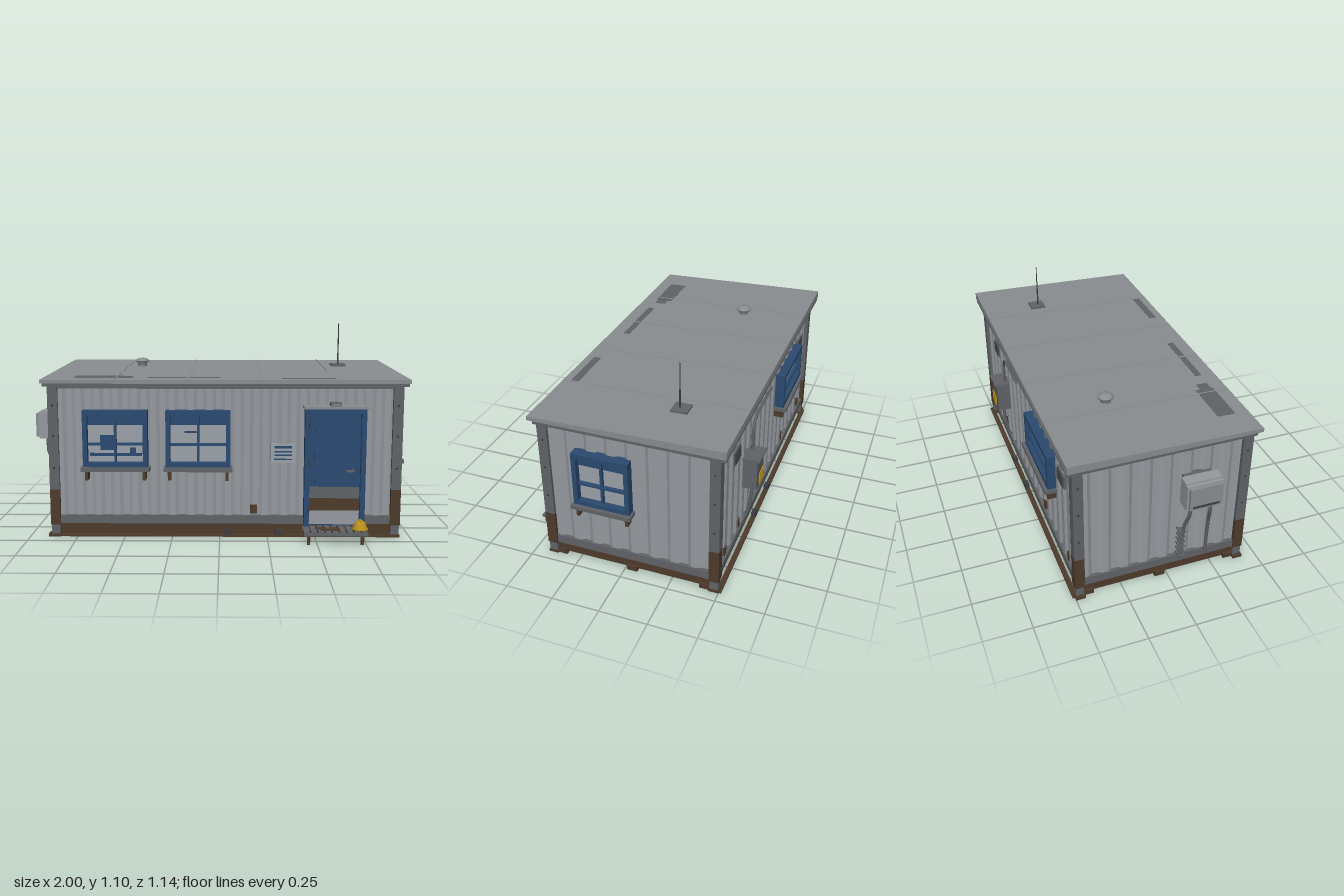
import * as THREE from 'three';

const mat = (name, color) => {
  const m = new THREE.MeshStandardMaterial({ color });
  m.name = name;
  return m;
};

export function createModel() {
  const wall = mat('wallGrey', 0x959a9f), roof = mat('roofGrey', 0x898d90), trim = mat('trimGrey', 0x606366);
  const blue = mat('paintBlue', 0x2a4a70), glass = mat('paneGrey', 0x9aa1a7), rust = mat('rustBrown', 0x4e3b2b);
  const yellow = mat('safetyYellow', 0xb8901e), dark = mat('darkMetal', 0x3b3d3f);
  const model = new THREE.Group();
  model.name = 'siteCabin';

  const group = (name, parent = model) => {
    const g = new THREE.Group();
    g.name = name;
    parent.add(g);
    return g;
  };
  const add = (parent, name, geo, m, x = 0, y = 0, z = 0) => {
    const mesh = new THREE.Mesh(geo, m);
    mesh.name = name;
    mesh.position.set(x, y, z);
    parent.add(mesh);
    return mesh;
  };
  // box given by its limits on each axis
  const box = (p, name, m, x0, x1, y0, y1, z0, z1) =>
    add(p, name, new THREE.BoxGeometry(x1 - x0, y1 - y0, z1 - z0), m, (x0 + x1) / 2, (y0 + y1) / 2, (z0 + z1) / 2);
  const tube = (p, name, m, r, pts) => {
    const path = new THREE.CatmullRomCurve3(pts.map(a => new THREE.Vector3(...a)), false, 'catmullrom', 0.2);
    return add(p, name, new THREE.TubeGeometry(path, 32, r, 8), m);
  };

  // Walls: each group has local x along the wall and local z pointing outwards
  const corrugated = (name, len, x, z, turn) => {
    const g = group(name);
    g.position.set(x, 0, z);
    g.rotation.y = turn;
    const h = len / 2, n = Math.round(len / 0.1), p = len / n, s = new THREE.Shape();
    s.moveTo(-h, 0.03);
    for (let i = 0; i < n; i++) {
      const a = -h + i * p;
      [[0, 0], [0.32, 0], [0.5, 0.012], [0.82, 0.012]].forEach(([u, d]) => s.lineTo(a + u * p, d));
    }
    s.lineTo(h, 0);
    s.lineTo(h, 0.03);
    const geo = new THREE.ExtrudeGeometry(s, { depth: 0.72, bevelEnabled: false });
    geo.rotateX(-Math.PI / 2);
    add(g, 'corrugatedSheet', geo, wall, 0, 0.075, 0);
    box(g, 'bottomRail', trim, -h, h, 0.07, 0.115, -0.03, 0.008);
    box(g, 'topRail', trim, -h, h, 0.785, 0.8, -0.03, 0.008);
    return g;
  };
  const CX = 0.0275, CZ = -0.0375;
  const front = corrugated('frontWall', 1.75, CX, 0.41, 0);
  const back = corrugated('backWall', 1.75, CX, -0.485, Math.PI);
  const right = corrugated('leftSideWall', 0.84, 0.93, CZ, Math.PI / 2);
  const left = corrugated('rightSideWall', 0.84, -0.875, CZ, -Math.PI / 2);

  // Corner posts with rusted feet, bolts and base castings
  for (const sx of [-1, 1]) for (const sz of [-1, 1]) {
    const g = group('cornerPost');
    const x = CX + sx * 0.892, z = CZ + sz * 0.437;
    box(g, 'upperPost', trim, x - 0.026, x + 0.026, 0.255, 0.8, z - 0.026, z + 0.026);
    box(g, 'rustedPost', rust, x - 0.026, x + 0.026, 0.065, 0.255, z - 0.026, z + 0.026);
    box(g, 'cornerCasting', trim, x - 0.022, x + 0.022, 0.015, 0.065, z - 0.022, z + 0.022);
    box(g, 'footPlate', rust, x - 0.04, x + 0.026, 0, 0.014, z - 0.026, z + 0.026);
    for (const y of [0.14, 0.37, 0.54, 0.7]) {
      add(g, 'bolt', new THREE.SphereGeometry(0.006, 8, 6), dark, x + sx * 0.026, y, z);
      add(g, 'bolt', new THREE.SphereGeometry(0.006, 8, 6), dark, x, y, z + sz * 0.026);
    }
  }

  // Base frame, floor and skids
  const base = group('baseFrame');
  box(base, 'floor', rust, -0.87, 0.925, 0.062, 0.08, -0.48, 0.405);
  for (const z of [0.38, -0.455]) box(base, 'longBeam', rust, -0.875, 0.93, 0.012, 0.062, z - 0.02, z + 0.02);
  for (const z of [0.353, -0.04, -0.428]) box(base, 'skid', rust, -0.885, 0.94, 0.002, 0.03, z - 0.028, z + 0.028);
  for (let i = 0; i < 5; i++) {
    const x = -0.855 + i * 0.441;
    box(base, 'crossBeam', rust, x - 0.018, x + 0.018, 0.015, 0.063, -0.46, 0.385);
  }
  for (const z of [0.418, -0.493]) {
    box(base, 'bottomFlange', rust, -0.885, 0.94, 0, 0.01, z - 0.02, z + 0.006);
    for (const x of [0.045, 0.31]) box(base, 'liftPocket', dark, x - 0.02, x + 0.02, 0.005, 0.038, z - 0.02, z + 0.004);
  }

  // Roof: shallow fall towards the front
  const roofY = z => 0.835 + (0.457 - z) * 0.0222;
  const slab = (p, name, m, x0, x1, z0, z1, lift, bottom) => {
    const s = new THREE.Shape();
    s.moveTo(z0, bottom ?? roofY(z0) - 0.002);
    s.lineTo(z0, roofY(z0) + lift);
    s.lineTo(z1, roofY(z1) + lift);
    s.lineTo(z1, bottom ?? roofY(z1) - 0.002);
    const geo = new THREE.ExtrudeGeometry(s, { depth: x1 - x0, bevelEnabled: false });
    geo.rotateY(-Math.PI / 2);
    return add(p, name, geo, m, x1, 0, 0);
  };
  const top = group('roof');
  slab(top, 'roofPanel', roof, -0.92, 0.975, -0.533, 0.457, 0, 0.815);
  box(top, 'fascia', trim, -0.915, 0.97, 0.797, 0.815, -0.53, 0.43);
  for (const x of [-0.54, -0.16, 0.216, 0.595]) slab(top, 'roofSeam', roof, x - 0.004, x + 0.004, -0.533, 0.457, 0.002);
  for (const [x0, x1, z0, z1] of [[-0.76, -0.505, 0.29, 0.385], [-0.505, -0.455, 0.315, 0.375],
    [-0.375, -0.17, 0.35, 0.385], [-0.155, 0, 0.35, 0.385], [0.32, 0.6, 0.375, 0.415]])
    slab(top, 'roofPatch', trim, x0, x1, z0, z1, 0.001);

  // Mushroom vent and aerial
  const vent = group('roofVent', top);
  vent.position.set(-0.46, 0.845, -0.185);
  const ventProfile = [[0.026, 0], [0.026, 0.028], [0.04, 0.03], [0.04, 0.038], [0.026, 0.05], [0, 0.053]];
  add(vent, 'ventCap', new THREE.LatheGeometry(ventProfile.map(a => new THREE.Vector2(...a)), 20), roof);
  const aerial = group('aerial', top);
  box(aerial, 'aerialPlate', trim, 0.645, 0.728, 0.845, 0.86, -0.26, -0.175);
  add(aerial, 'aerialRod', new THREE.CylinderGeometry(0.002, 0.005, 0.25, 8), dark, 0.686, 0.975, -0.21);

  // Windows: frame, pane, glazing bars, blind, sill and brackets
  const windowUnit = (p, cx, w, y0, y1, cross = true) => {
    const g = group('window', p), h = w / 2, t = 0.024;
    const mid = (y0 + y1) / 2 - 0.03;
    g.position.x = cx;
    for (const s of [-1, 1]) {
      const x = s * (h - t / 2);
      box(g, 'sideFrame', blue, x - t / 2, x + t / 2, y0, y1, -0.015, 0.045);
      const b = s * (h - 0.018);
      box(g, 'sillBracket', rust, b - 0.008, b + 0.008, y0 - 0.07, y0 - 0.02, -0.012, 0.045);
    }
    box(g, 'topFrame', blue, -h + t, h - t, y1 - t, y1, -0.015, 0.045);
    box(g, 'bottomFrame', blue, -h + t, h - t, y0, y0 + t, -0.015, 0.045);
    box(g, 'pane', glass, -h + t, h - t, y0 + t, y1 - t, -0.014, 0.012);
    box(g, 'blind', blue, -h + t, h - t, y1 - t - (y1 - y0) * 0.18, y1 - t, 0.012, 0.016);
    box(g, 'crossBar', blue, -h + t, h - t, mid - 0.006, mid + 0.006, 0.012, 0.032);
    if (cross) box(g, 'uprightBar', blue, -0.006, 0.006, y0 + t, y1 - t, 0.012, 0.032);
    box(g, 'sill', trim, -h - 0.01, h + 0.01, y0 - 0.021, y0, -0.012, 0.064);
    return g;
  };
  const office = windowUnit(front, -0.541 - CX, 0.335, 0.38, 0.675);
  box(office, 'screenShape', blue, -0.08, 0, 0.465, 0.545, 0.012, 0.015);
  box(office, 'deskShape', blue, -0.135, 0.135, 0.434, 0.45, 0.012, 0.015);
  box(office, 'cupShape', blue, 0.075, 0.105, 0.45, 0.478, 0.012, 0.015);
  const second = windowUnit(front, -0.112 - CX, 0.335, 0.38, 0.675);
  box(second, 'paperShape', blue, -0.07, -0.01, 0.555, 0.566, 0.012, 0.015);
  windowUnit(right, CZ - 0.0925, 0.295, 0.38, 0.675);
  windowUnit(back, CX + 0.345, 0.43, 0.455, 0.655, false);

  // Door with kick plate, handle, canopy and lamp
  const door = group('door', front);
  door.position.x = 0.596 - CX;
  for (const s of [-1, 1]) box(door, 'doorJamb', blue, s * 0.145 - 0.013, s * 0.145 + 0.013, 0.065, 0.685, -0.015, 0.047);
  box(door, 'doorHead', blue, -0.132, 0.132, 0.66, 0.685, -0.015, 0.047);
  box(door, 'doorLeaf', blue, -0.132, 0.132, 0.068, 0.66, -0.015, 0.026);
  box(door, 'doorPanel', blue, -0.105, 0.105, 0.29, 0.585, 0.026, 0.034);
  box(door, 'kickPlate', trim, -0.13, 0.13, 0.215, 0.275, 0.026, 0.031);
  box(door, 'rustBand', rust, -0.13, 0.13, 0.15, 0.215, 0.026, 0.031);
  box(door, 'lowerPlate', wall, -0.13, 0.13, 0.075, 0.15, 0.026, 0.031);
  box(door, 'handleStem', trim, 0.088, 0.096, 0.36, 0.372, 0.03, 0.062);
  box(door, 'handle', trim, 0.055, 0.096, 0.36, 0.37, 0.055, 0.065);
  for (const y of [0.16, 0.4, 0.6]) box(door, 'hinge', dark, -0.138, -0.128, y - 0.018, y + 0.018, 0.026, 0.05);
  box(door, 'canopy', roof, -0.166, 0.168, 0.688, 0.7, -0.012, 0.07);
  box(door, 'lampBase', trim, -0.028, 0.028, 0.7, 0.718, -0.012, 0.045);
  box(door, 'lampTop', roof, -0.022, 0.022, 0.706, 0.713, 0.045, 0.052);

  // Slatted step with mud and a hard hat
  const step = group('step');
  for (let i = 0; i < 9; i++) box(step, 'stepSlat', trim, 0.432 + i * 0.037, 0.46 + i * 0.037, 0.055, 0.066, 0.436, 0.56);
  for (const z of [0.44, 0.55]) box(step, 'stepRail', trim, 0.43, 0.758, 0.046, 0.06, z, z + 0.015);
  for (const x of [0.455, 0.73]) box(step, 'stepLeg', rust, x - 0.008, x + 0.008, 0, 0.048, 0.548, 0.562);
  for (const [x, z, w] of [[0.525, 0.492, 0.06], [0.57, 0.515, 0.1], [0.595, 0.488, 0.05]])
    box(step, 'mud', rust, x - w / 2, x + w / 2, 0.065, 0.069, z - 0.016, z + 0.016);
  const hat = group('hardHat', step);
  hat.position.set(0.725, 0.066, 0.503);
  const hatProfile = [[0, 0], [0.041, 0], [0.041, 0.007], [0.034, 0.01], [0.03, 0.028], [0.02, 0.042], [0.008, 0.049], [0, 0.05]];
  add(hat, 'hatShell', new THREE.LatheGeometry(hatProfile.map(a => new THREE.Vector2(...a)), 24), yellow);
  box(hat, 'hatRidge', yellow, -0.005, 0.005, 0.03, 0.051, -0.018, 0.018);

  // Notice board
  const board = group('noticeBoard', front);
  board.position.x = 0.329 - CX;
  box(board, 'boardPlate', glass, -0.064, 0.064, 0.397, 0.497, -0.012, 0.01);
  [[0.474, 0.488], [0.453, 0.461], [0.434, 0.442], [0.415, 0.42]].forEach(([a, b]) =>
    box(board, 'boardStripe', blue, -0.046, 0.046, a, b, 0.01, 0.013));

  // Rust patches low on the walls
  box(front, 'rustPatch', rust, 0.16 - CX, 0.195 - CX, 0.125, 0.17, -0.012, 0.003);
  for (const x of [0.8, 0.57, -0.31, -0.74]) box(back, 'rustPatch', rust, CX - x - 0.014, CX - x + 0.014, 0.125, 0.175, -0.012, 0.003);

  // Electrical cabinet and conduits on the back
  const cab = group('electricCabinet', back);
  cab.position.x = CX - 0.457;
  box(cab, 'cabinetBody', trim, -0.06, 0.06, 0.34, 0.515, -0.012, 0.074);
  box(cab, 'cabinetHood', trim, -0.067, 0.067, 0.512, 0.522, -0.012, 0.087);
  box(cab, 'warningPlate', dark, -0.045, 0.045, 0.36, 0.435, 0.074, 0.078);
  for (let i = 0; i < 4; i++) box(cab, 'warningStripe', yellow, -0.042, 0.042, 0.367 + i * 0.018, 0.378 + i * 0.018, 0.078, 0.084);
  tube(cab, 'upperConduit', trim, 0.008, [[0.035, 0.515, 0.02], [0.035, 0.63, 0.02], [0.06, 0.675, 0.02], [0.11, 0.695, 0.02], [0.375, 0.7, 0.02]]);
  tube(cab, 'lowerConduit', trim, 0.009, [[0.01, 0.345, 0.035], [0.01, 0.26, 0.03], [0.01, 0.18, 0.022], [0.01, 0.12, 0.008]]);

  // Louvred vents on the back
  for (const [x, y] of [[0.65, 0.625], [-0.665, 0.605]]) {
    const g = group('wallVent', back);
    g.position.set(CX - x, y, 0);
    box(g, 'ventPlate', trim, -0.052, 0.052, -0.038, 0.038, -0.012, 0.006);
    for (let i = 0; i < 4; i++) box(g, 'louvre', dark, -0.044, 0.044, -0.029 + i * 0.017, -0.021 + i * 0.017, 0.006, 0.012);
  }

  // Air conditioner and its hoses on the side
  const ac = group('airConditioner', left);
  ac.position.x = 0.135 - CZ;
  box(ac, 'mountPlate', trim, -0.075, 0.075, 0.5, 0.63, -0.012, 0.03);
  box(ac, 'unitBody', wall, -0.095, 0.095, 0.49, 0.632, 0.03, 0.108);
  box(ac, 'unitFace', roof, -0.085, 0.085, 0.5, 0.625, 0.108, 0.125);
  box(ac, 'unitLid', wall, -0.095, 0.095, 0.632, 0.64, 0.03, 0.09);
  box(ac, 'outletSlot', dark, -0.07, 0.07, 0.51, 0.522, 0.125, 0.127);
  for (const s of [-1, 1])
    tube(ac, 'hose', trim, 0.009, [[s * 0.055, 0.495, 0.07], [s * 0.055, 0.42, 0.068], [s * 0.065, 0.34, 0.04], [s * 0.07, 0.22, 0.024], [s * 0.07, 0.1, 0.022]]);
  for (let i = 0; i < 6; i++) box(ac, 'hoseClip', trim, -0.086, -0.054, 0.12 + i * 0.032, 0.13 + i * 0.032, -0.012, 0.036);
  return model;
}
